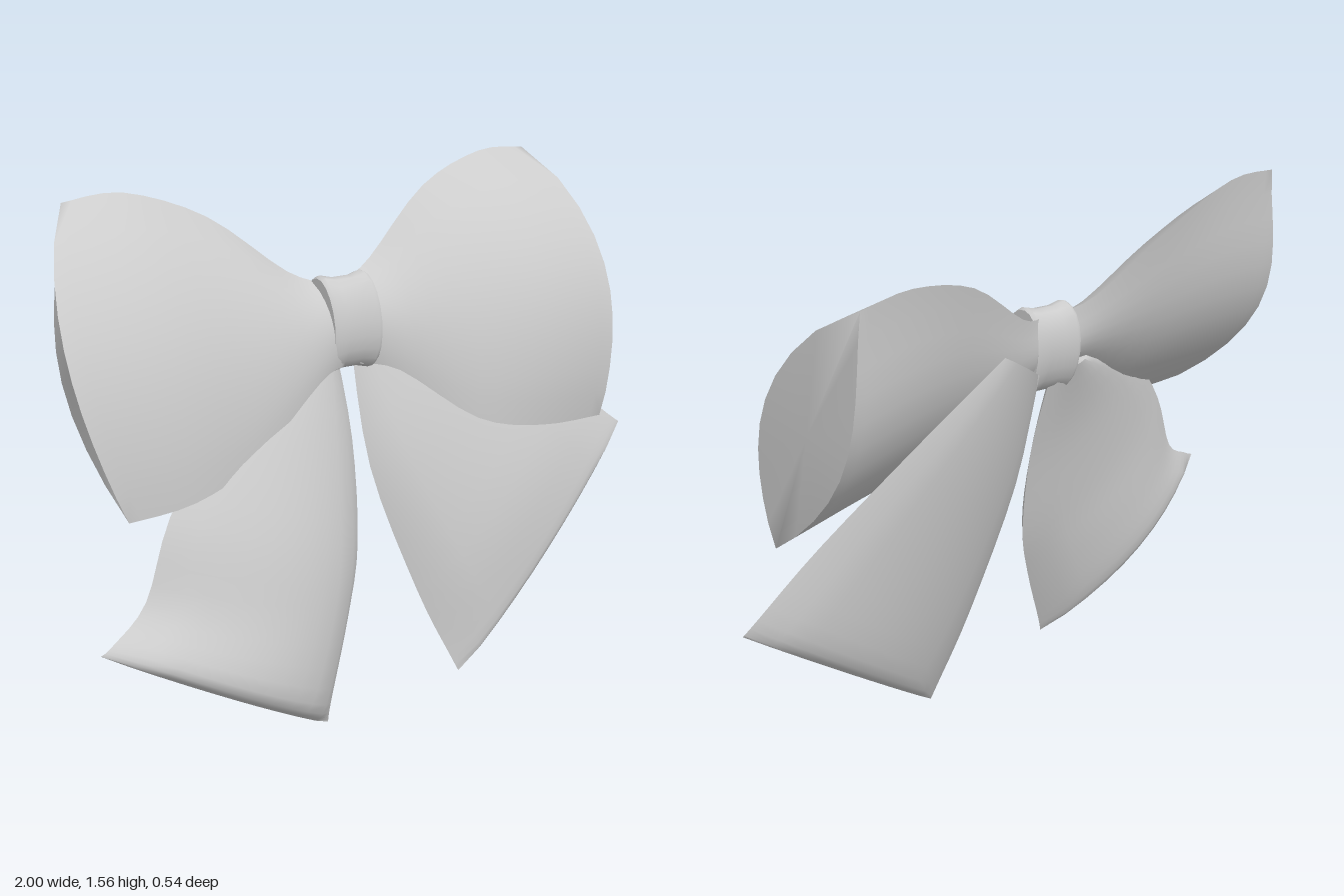
import * as THREE from 'three';
import { toCreasedNormals } from 'three/addons/utils/BufferGeometryUtils.js';

const material = new THREE.MeshStandardMaterial({ color: 0xcccccc });
const HALF = 10; // points along each side of a cross-section
const STEPS = 4; // rings between two given sections

// Bulge curves: skew below 1 is fullest near edge a, low power is flatter with blunt edges
const LOOP = { front: 0.75, back: 1.25, power: 0.9 };
const TAIL = { front: 0.9, back: 0.95, power: 0.65 };

// Smooth interpolation through the given section rows
function refine(rows) {
  const out = [];
  const at = (i) => rows[Math.max(0, Math.min(rows.length - 1, i))];
  for (let i = 0; i < rows.length - 1; i++) {
    for (let s = 0; s < STEPS; s++) {
      const t = s / STEPS;
      out.push(rows[i].map((p1, c) => {
        const p0 = at(i - 1)[c], p2 = at(i + 1)[c], p3 = at(i + 2)[c];
        const m1 = (p2 - p0) / 2, m2 = (p3 - p1) / 2, d = p2 - p1;
        return p1 + t * (m1 + t * (3 * d - 2 * m1 - m2 + t * (m1 + m2 - 2 * d)));
      }));
    }
  }
  out.push(rows[rows.length - 1]);
  return out;
}

// Lens ring: edge a, edge b, then bulge (x, z) of the front and the back
function ring([ax, ay, az, bx, by, bz, fx, fz, kx, kz], curve) {
  const points = [];
  for (let j = 0; j < HALF * 2; j++) {
    const front = j < HALF;
    const t = front ? j / HALF : 2 - j / HALF;
    const s = Math.sin(Math.PI * Math.pow(t, front ? curve.front : curve.back));
    const w = Math.pow(Math.max(0, s), curve.power);
    points.push([
      ax + (bx - ax) * t + w * (front ? fx : kx),
      ay + (by - ay) * t,
      az + (bz - az) * t + w * (front ? fz : kz),
    ]);
  }
  return points;
}

// Closed puffy ribbon lofted through lens-shaped sections
function ribbon(name, rows, curve, flip) {
  const rings = refine(rows).map((row) => ring(row, curve));
  const n = HALF * 2, last = rings.length - 1;
  const positions = [];
  const tri = (a, b, c) => positions.push(...a, ...(flip ? c : b), ...(flip ? b : c));
  const centre = (r) => [0, 1, 2].map((c) => r.reduce((sum, p) => sum + p[c], 0) / n);
  const c0 = centre(rings[0]), c1 = centre(rings[last]);
  for (let j = 0; j < n; j++) {
    const k = (j + 1) % n;
    for (let i = 0; i < last; i++) {
      const p = rings[i], q = rings[i + 1];
      tri(p[j], p[k], q[k]);
      tri(p[j], q[k], q[j]);
    }
    tri(c0, rings[0][k], rings[0][j]);
    tri(c1, rings[last][j], rings[last][k]);
  }
  const geometry = new THREE.BufferGeometry();
  geometry.setAttribute('position', new THREE.Float32BufferAttribute(positions, 3));
  const mesh = new THREE.Mesh(toCreasedNormals(geometry, 1.5), material);
  mesh.name = name;
  return mesh;
}

export function createModel() {
  const bow = new THREE.Group();
  bow.name = 'bow';

  // Loops: top edge, bottom edge, front bulge, back bulge
  bow.add(ribbon('leftLoop', [
    [-0.05, 1.25, -0.04, -0.05, 1.02, 0.03, 0, 0.05, 0, -0.05],
    [0.08, 1.29, -0.08, 0.08, 0.98, 0.06, 0, 0.06, 0, -0.06],
    [0.32, 1.46, -0.12, 0.28, 0.82, 0.18, 0, 0.11, 0, -0.1],
    [0.56, 1.53, -0.135, 0.5, 0.76, 0.23, 0, 0.16, 0, -0.14],
    [0.74, 1.52, -0.13, 0.75, 0.735, 0.235, 0.04, 0.18, 0.03, -0.155],
  ], LOOP, false));
  bow.add(ribbon('rightLoop', [
    [-0.1, 1.25, -0.05, -0.1, 1.02, 0.02, 0, 0.05, 0, -0.05],
    [-0.2, 1.29, -0.11, -0.2, 1.0, 0.04, 0, 0.06, 0, -0.06],
    [-0.4, 1.46, -0.21, -0.46, 0.84, 0.08, 0, 0.1, 0, -0.09],
    [-0.64, 1.555, -0.25, -0.68, 0.78, 0.1, -0.05, 0.12, 0, -0.13],
    [-0.82, 1.55, -0.27, -0.88, 0.77, 0.08, -0.14, 0.11, -0.03, -0.15],
  ], LOOP, true));

  // Tails: inner edge, outer edge, front bulge, back bulge; the hems taper shut
  bow.add(ribbon('leftTail', [
    [-0.02, 1.08, -0.05, 0.19, 1.22, -0.11, 0, 0.02, 0, -0.03],
    [-0.02, 0.7, 0.04, 0.46, 1.045, -0.05, 0, 0.07, 0, -0.06],
    [0.1, 0.29, 0.12, 0.76, 0.815, 0.04, 0, 0.09, 0, -0.08],
    [0.2, 0.05, 0.17, 0.95, 0.655, 0.09, 0, 0.06, 0, -0.08],
    [0.22, 0.005, 0.18, 0.995, 0.62, 0.1, 0, 0.04, 0, -0.04],
  ], TAIL, true));
  bow.add(ribbon('rightTail', [
    [-0.08, 1.08, -0.05, -0.22, 1.09, -0.06, 0, 0.03, 0, -0.03],
    [-0.08, 0.8, 0.03, -0.54, 0.95, 0.01, 0, 0.06, 0, -0.05],
    [-0.11, 0.5, 0.09, -0.74, 0.74, 0.06, 0, 0.11, 0, -0.07],
    [-0.18, 0.3, 0.13, -0.84, 0.53, 0.08, 0, 0.13, 0, -0.09],
    [-0.28, 0.07, 0.17, -0.96, 0.45, 0.1, 0, 0.13, 0, -0.11],
    [-0.3, 0.015, 0.18, -1.0, 0.43, 0.1, 0, 0.07, 0, -0.07],
  ], TAIL, false));

  // Knot: a flattened, slanted band with slightly flared rims
  const profile = [[0, -0.07], [0.135, -0.07], [0.142, -0.06], [0.132, -0.025],
    [0.132, 0.025], [0.142, 0.06], [0.135, 0.07], [0, 0.07]];
  const band = new THREE.LatheGeometry(profile.map(([r, h]) => new THREE.Vector2(r, h)), 20);
  band.rotateZ(-Math.PI / 2);
  band.scale(1, 1, 0.5);
  band.applyMatrix4(new THREE.Matrix4().makeShear(0, 0.28, 0, 0, 0, 0));
  const knot = new THREE.Mesh(toCreasedNormals(band, 0.75), material);
  knot.name = 'knot';
  knot.rotation.x = -0.12;
  knot.position.set(-0.072, 1.14, -0.015);
  bow.add(knot);

  return bow;
}
